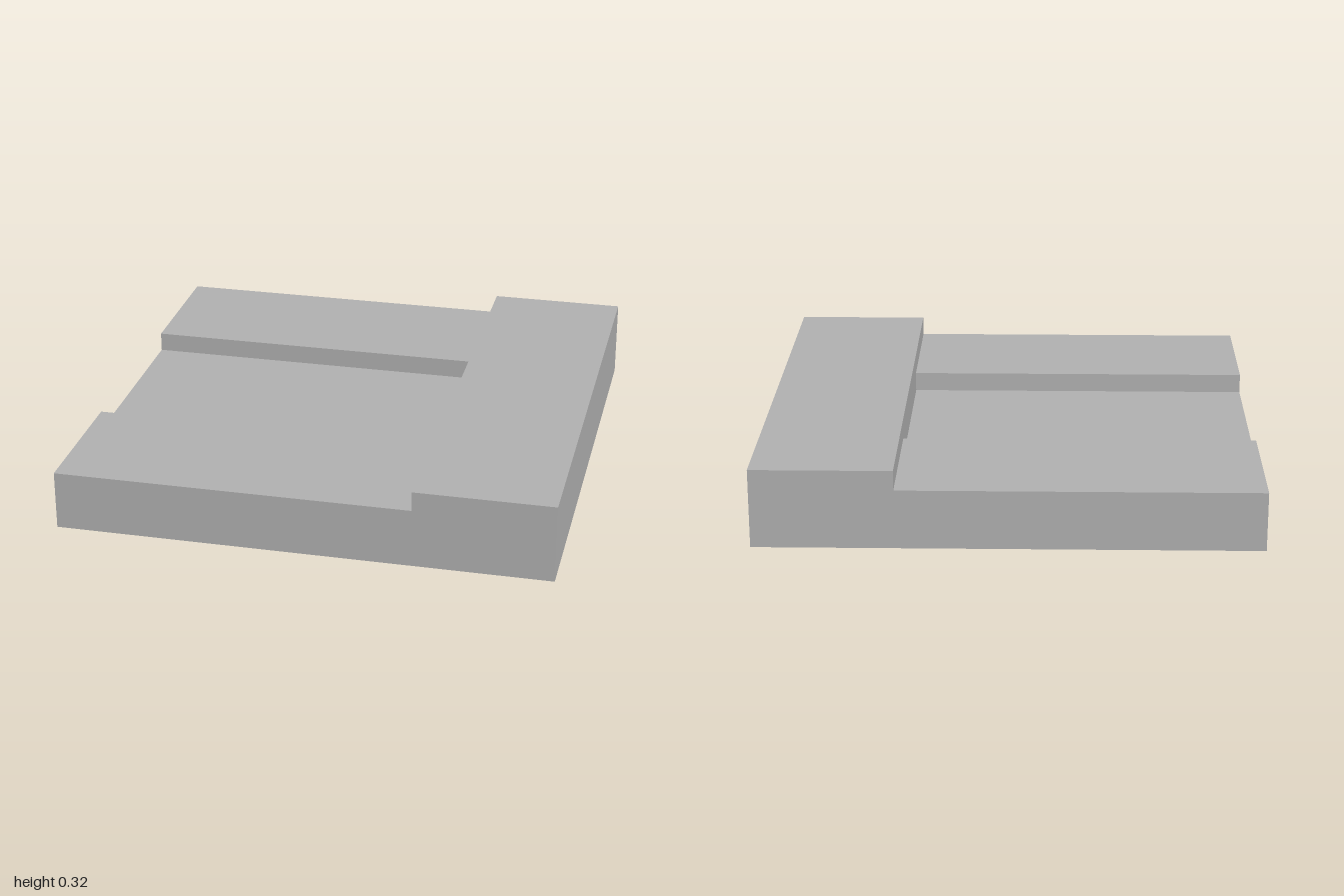
import * as THREE from 'three';

export function createModel() {
  const model = new THREE.Group();
  model.name = 'steppedSlab';
  const grey = new THREE.MeshStandardMaterial({ color: 0xb2b2b2 });
  grey.name = 'plain grey';

  // Block standing on the ground, given by its x and z ranges and its height
  function addBlock(name, x0, x1, z0, z1, height) {
    const mesh = new THREE.Mesh(new THREE.BoxGeometry(x1 - x0, height, z1 - z0), grey);
    mesh.name = name;
    mesh.position.set((x0 + x1) / 2, height / 2, (z0 + z1) / 2);
    model.add(mesh);
  }

  const step = 0.44; // where the raised side begins
  const channel = 0.42; // half width of the sunken channel

  addBlock('raisedSide', step, 1, -1, 1, 0.32);
  addBlock('channelFloor', -1, step, -channel, channel, 0.16);
  addBlock('frontLedge', -1, step, channel, 1, 0.24);
  addBlock('backLedge', -1, step, -1, -channel, 0.24);

  return model;
}
